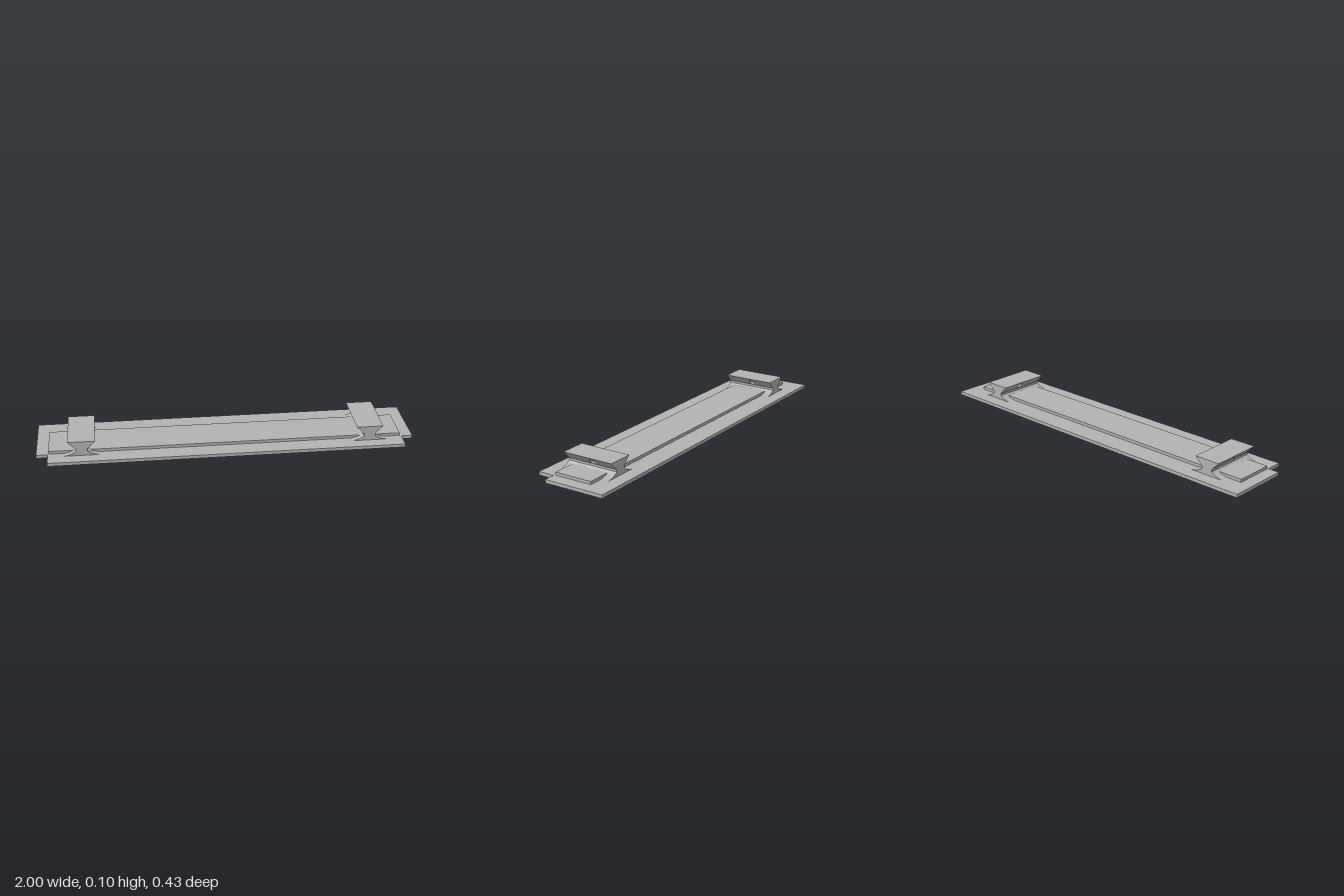
import * as THREE from 'three';
import { toCreasedNormals } from 'three/addons/utils/BufferGeometryUtils.js';

const Z_FRONT = 0.148, Z_BACK = -0.14;   // rail ends
const NECK_Y = 0.055, TOP_Y = 0.098;     // dovetail head
const NECK_HALF = 0.03, TOP_HALF = 0.071;

export function createModel() {
  const model = new THREE.Group();
  const grey = new THREE.MeshStandardMaterial({ color: 0xb2b2b2 });
  grey.name = 'plain grey';

  const add = (parent, name, geometry) => {
    const mesh = new THREE.Mesh(geometry, grey);
    mesh.name = name;
    parent.add(mesh);
    return mesh;
  };

  // Base plate with notched front corners (drawn as x, -z, then laid flat)
  const outline = new THREE.Shape([
    [-0.94, -0.213], [0.94, -0.213], [0.94, -0.123], [1, -0.123],
    [1, 0.213], [-1, 0.213], [-1, -0.123], [-0.94, -0.123],
  ].map(([x, y]) => new THREE.Vector2(x, y)));
  const base = new THREE.ExtrudeGeometry(outline, { depth: 0.018, bevelEnabled: false });
  add(model, 'basePlate', base.rotateX(-Math.PI / 2));

  // Raised panel on the base
  const panel = new THREE.BoxGeometry(1.868, 0.024, 0.212);
  add(model, 'raisedPanel', panel.translate(-0.002, 0.022, 0.011));

  // Rail foot: neck with concave fillets flaring onto the base
  const footShape = new THREE.Shape();
  footShape.moveTo(-0.095, 0.017);
  footShape.lineTo(0.095, 0.017);
  footShape.lineTo(0.095, 0.018);
  footShape.quadraticCurveTo(0.052, 0.023, NECK_HALF, 0.043);
  footShape.lineTo(NECK_HALF, NECK_Y);
  footShape.lineTo(-NECK_HALF, NECK_Y);
  footShape.lineTo(-NECK_HALF, 0.043);
  footShape.quadraticCurveTo(-0.052, 0.023, -0.095, 0.018);
  footShape.closePath();
  const foot = toCreasedNormals(
    new THREE.ExtrudeGeometry(footShape, { depth: Z_FRONT - Z_BACK, bevelEnabled: false, curveSegments: 10 })
      .translate(0, 0, Z_BACK), 0.4);

  // Dovetail head with a teardrop cross hole, widened upwards
  const headShape = new THREE.Shape([
    new THREE.Vector2(Z_BACK, NECK_Y), new THREE.Vector2(Z_FRONT, NECK_Y),
    new THREE.Vector2(Z_FRONT, TOP_Y), new THREE.Vector2(Z_BACK, TOP_Y),
  ]);
  const hole = new THREE.Path();
  hole.moveTo(-0.006, 0.093);
  hole.absarc(-0.006, 0.0718, 0.0158, Math.PI * 0.77, Math.PI * 2.23, false);
  hole.closePath();
  headShape.holes.push(hole);
  let head = new THREE.ExtrudeGeometry(headShape, { depth: 1, bevelEnabled: false, curveSegments: 24 });
  head.translate(0, 0, -0.5).rotateY(-Math.PI / 2);
  const p = head.attributes.position;
  for (let i = 0; i < p.count; i++) {
    const t = (p.getY(i) - NECK_Y) / (TOP_Y - NECK_Y);
    p.setX(i, p.getX(i) * 2 * THREE.MathUtils.lerp(NECK_HALF, TOP_HALF, t));
  }
  head = toCreasedNormals(head, 0.5);

  // One rail near each end
  for (const [name, x] of [['leftRail', 0.76], ['rightRail', -0.762]]) {
    const rail = new THREE.Group();
    rail.name = name;
    rail.position.x = x;
    add(rail, 'railFoot', foot);
    add(rail, 'dovetailHead', head);
    model.add(rail);
  }
  return model;
}
